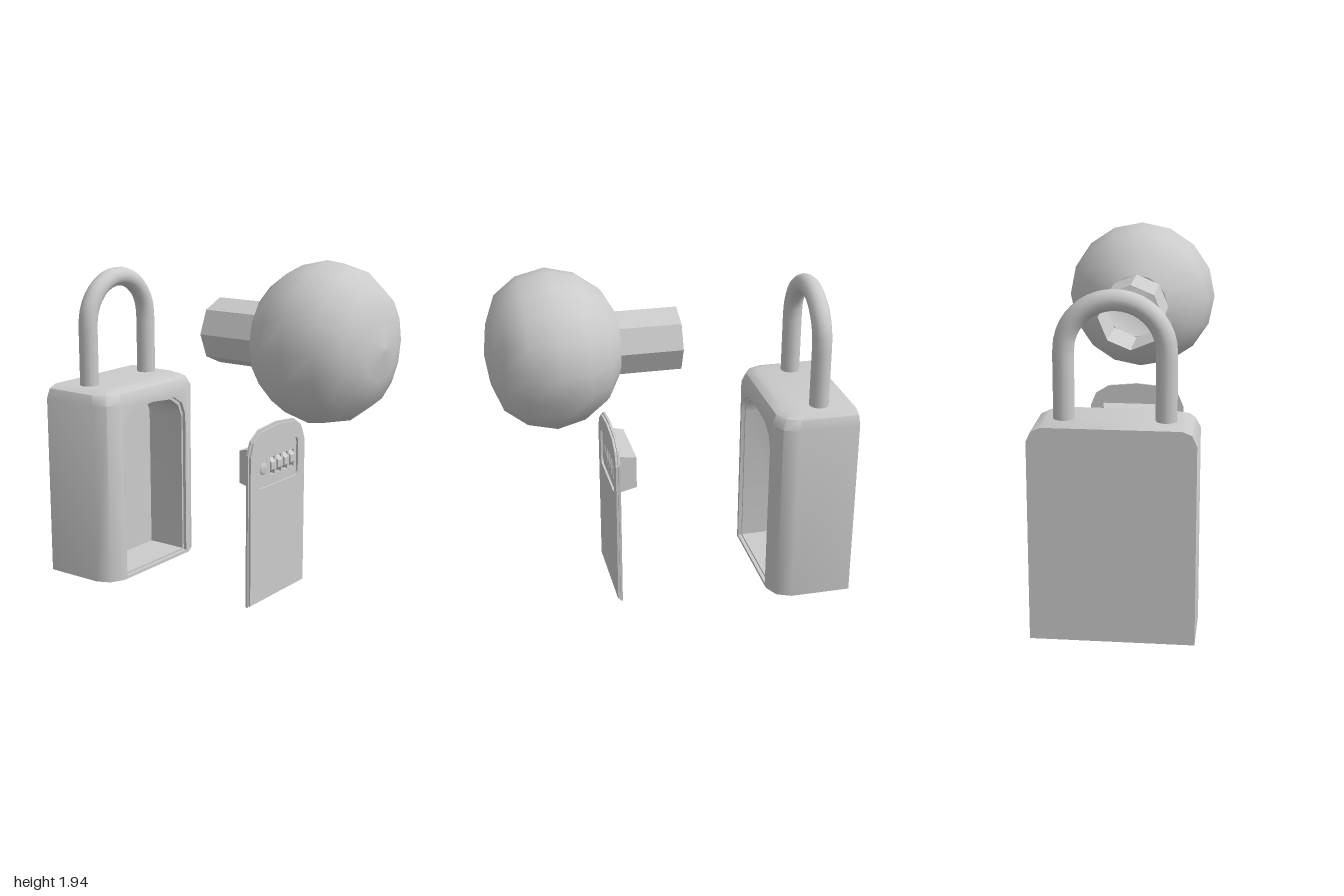
import * as THREE from 'three';
import { mergeGeometries, toCreasedNormals } from 'three/addons/utils/BufferGeometryUtils.js';

const smooth = new THREE.MeshStandardMaterial({ color: 0xcccccc, side: THREE.DoubleSide });
const flat = new THREE.MeshStandardMaterial({ color: 0xcccccc, side: THREE.DoubleSide, flatShading: true });

function add(parent, name, geometry, material = smooth) {
  const mesh = new THREE.Mesh(geometry, material);
  mesh.name = name;
  parent.add(mesh);
  return mesh;
}

// Skin between successive rings of [x, y, z] points; skip(i, j) leaves a quad open
function loft(rings, skip = () => false) {
  const pos = [];
  for (let i = 0; i < rings.length - 1; i++) {
    const a = rings[i], b = rings[i + 1], n = a.length;
    for (let j = 0; j < n; j++) {
      if (skip(i, j)) continue;
      const k = (j + 1) % n;
      pos.push(...a[j], ...a[k], ...b[k], ...a[j], ...b[k], ...b[j]);
    }
  }
  const g = new THREE.BufferGeometry();
  g.setAttribute('position', new THREE.Float32BufferAttribute(pos, 3));
  g.computeVertexNormals();
  return g;
}

// Arched doorway outline: half width, bottom and top
function arch(w, bottom, top) {
  const half = [[w, bottom], [w, top - 0.14], [w * 0.89, top - 0.065], [w * 0.61, top - 0.016]];
  return [...half, [0, top], ...half.map(([u, y]) => [-u, y]).reverse()];
}
const toVectors = (pts) => pts.map((p) => new THREE.Vector2(...p));
const shapeOf = (pts) => new THREE.Shape(toVectors(pts));

// Flat face or slab turned to look along +x
function facing(shape, x, depth = 0) {
  const g = depth
    ? new THREE.ExtrudeGeometry(shape, { depth, bevelEnabled: false, curveSegments: 4 })
    : new THREE.ShapeGeometry(shape);
  return g.rotateY(Math.PI / 2).translate(x, 0, 0);
}

function plain(g) {
  const out = g.index ? g.toNonIndexed() : g;
  out.deleteAttribute('uv');
  return out;
}

function roundedRect(Type, w, y0, y1, r) {
  const s = new Type();
  s.moveTo(-w + r, y0);
  s.lineTo(w - r, y0); s.quadraticCurveTo(w, y0, w, y0 + r);
  s.lineTo(w, y1 - r); s.quadraticCurveTo(w, y1, w - r, y1);
  s.lineTo(-w + r, y1); s.quadraticCurveTo(-w, y1, -w, y1 - r);
  s.lineTo(-w, y0 + r); s.quadraticCurveTo(-w, y0, -w + r, y0);
  return s;
}

function makeBody() {
  const half = [[-1, 0.425], [-0.65, 0.425], [-0.57, 0.39], [-0.53, 0.31]];
  const plan = [...half, ...half.map(([x, z]) => [x, -z]).reverse()];
  const ring = (y, inset) => plan.map(([x, z]) =>
    [-1 + (x + 1) * (0.47 - inset) / 0.47, y, z * (0.425 - inset) / 0.425]);
  const rings = [ring(0, 0), ring(1.06, 0), ring(1.115, 0.025), ring(1.135, 0.075)];
  const shell = loft(rings, (i, j) => i === 0 && j === 3);

  // Bottom and top lids
  const lid = (r, up) => {
    const g = new THREE.ShapeGeometry(shapeOf(r.map(([x, , z]) => [x, -z])));
    return g.rotateX(-Math.PI / 2).translate(0, up, 0);
  };
  // Front face with the arched opening, then the stepped cavity behind it
  const front = shapeOf([[-0.31, 0], [0.31, 0], [0.31, 1.06], [-0.31, 1.06]]);
  const outer = arch(0.285, 0.018, 1.035), inner = arch(0.272, 0.03, 1.02);
  front.holes.push(new THREE.Path(toVectors(outer)));
  const at = (pts, x) => pts.map(([u, y]) => [x, y, -u]);
  const cavity = loft([at(outer, -0.53), at(outer, -0.55), at(inner, -0.55), at(inner, -0.8)]);
  const parts = [shell, lid(rings[0], 0), lid(rings[3], 1.135), facing(front, -0.53),
    cavity, facing(shapeOf(inner), -0.8)];
  return toCreasedNormals(mergeGeometries(parts.map(plain)), 0.75);
}

function makeDoor() {
  const door = new THREE.Group();
  door.name = 'door';

  // Back plate with dial windows, front plate with the recess for the dials
  const dialZ = [0.043, -0.022, -0.086, -0.15];
  const back = shapeOf(arch(0.277, 0.018, 1.028));
  for (const z of dialZ) {
    const u = -z;
    back.holes.push(new THREE.Path(toVectors(
      [[u - 0.023, 0.734], [u + 0.023, 0.734], [u + 0.023, 0.836], [u - 0.023, 0.836]])));
  }
  add(door, 'doorBackPlate', facing(back, 0.32, 0.013), flat);
  const front = shapeOf(arch(0.268, 0.026, 1.016));
  front.holes.push(roundedRect(THREE.Path, 0.2, 0.68, 0.905, 0.035));
  add(door, 'doorFrontPlate', facing(front, 0.333, 0.012), flat);

  // Tapered lock housing behind the door
  const rect = (x, y0, y1, z) => [[x, y0, z], [x, y0, -z], [x, y1, -z], [x, y1, z]];
  const a = rect(0.32, 0.68, 0.905, 0.2), b = rect(0.212, 0.697, 0.883, 0.185);
  const middle = (x) => Array.from({ length: 4 }, () => [x, 0.79, 0]);
  add(door, 'lockHousing', loft([middle(0.32), a, b, middle(0.212)]), flat);

  // Number dials and release button
  for (const z of dialZ) {
    const dial = new THREE.CylinderGeometry(0.055, 0.055, 0.042, 8, 1, false, Math.PI / 8);
    add(door, 'numberDial', dial.rotateX(Math.PI / 2).translate(0.292, 0.785, z), flat);
  }
  const button = new THREE.SphereGeometry(0.035, 16, 8);
  add(door, 'releaseButton', button.scale(0.25, 1, 1).translate(0.333, 0.785, 0.13));
  return door;
}

function makeShackle() {
  const path = new THREE.CurvePath();
  const r = 0.26, base = 1.1, spring = 1.485;
  const v = (y, z) => new THREE.Vector3(-0.813, y, z);
  path.add(new THREE.LineCurve3(v(base, r), v(spring, r)));
  const bend = [];
  for (let i = 0; i <= 12; i++) {
    const t = Math.PI * i / 12;
    bend.push(v(spring + r * Math.sin(t), r * Math.cos(t)));
  }
  path.add(new THREE.CatmullRomCurve3(bend));
  path.add(new THREE.LineCurve3(v(spring, -r), v(base, -r)));
  return new THREE.TubeGeometry(path, 40, 0.055, 14, false);
}

function makeKnob() {
  const knob = new THREE.Group();
  knob.name = 'knob';
  // Flattened ball turned about the x axis
  const profile = [[0.18, -0.355], [0.31, -0.28], [0.4, -0.155], [0.437, 0],
    [0.4, 0.16], [0.31, 0.28], [0.17, 0.335], [0, 0.36]];
  add(knob, 'knobBall', new THREE.LatheGeometry(toVectors(profile), 16).rotateZ(-Math.PI / 2));
  // Open octagonal neck
  const neck = new THREE.CylinderGeometry(0.184, 0.184, 0.345, 8, 1, true);
  add(knob, 'knobNeck', neck.rotateZ(-Math.PI / 2).translate(-0.5225, 0, 0), flat);
  knob.position.set(0.64, 1.5, 0);
  return knob;
}

export function createModel() {
  const model = new THREE.Group();
  model.name = 'keyLockBox';
  add(model, 'body', makeBody());
  add(model, 'shackle', makeShackle());
  model.add(makeDoor(), makeKnob());
  return model;
}
